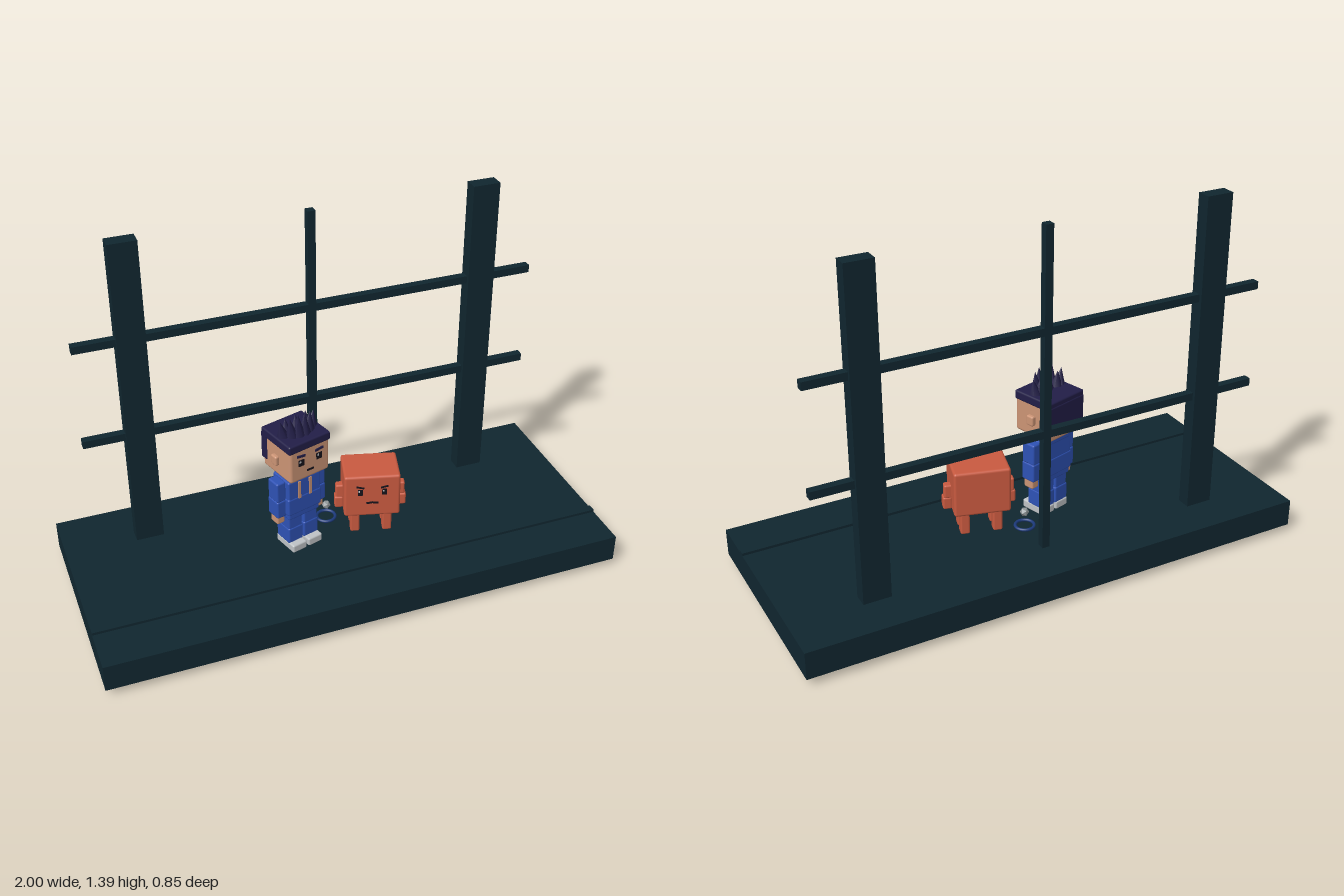
import * as THREE from 'three';
import { RoundedBoxGeometry } from 'three/addons/geometries/RoundedBoxGeometry.js';

const mat = (name, color, flatShading = false) => {
  const m = new THREE.MeshStandardMaterial({ color, flatShading });
  m.name = name;
  return m;
};

export function createModel() {
  const slate = mat('dark slate', 0x10262f);
  const blue = mat('tracksuit blue', 0x2e52b5);
  const navy = mat('ring navy', 0x1c3a7c);
  const hairMat = mat('hair indigo', 0x221e48);
  const skin = mat('skin', 0xcc9475);
  const orange = mat('orange', 0xc95a40);
  const grey = mat('light grey', 0xbfc3c6);
  const black = mat('black', 0x15121a);

  const add = (parent, name, geometry, material, x, y, z) => {
    const mesh = new THREE.Mesh(geometry, material);
    mesh.name = name;
    mesh.position.set(x, y, z);
    parent.add(mesh);
    return mesh;
  };
  const box = (p, name, m, w, h, d, x, y, z) =>
    add(p, name, new THREE.BoxGeometry(w, h, d), m, x, y, z);
  const soft = (p, name, m, w, h, d, x, y, z, r = 0.007) =>
    add(p, name, new RoundedBoxGeometry(w, h, d, 2, r), m, x, y, z);
  const group = (parent, name) => {
    const g = new THREE.Group();
    g.name = name;
    parent.add(g);
    return g;
  };

  const model = group(new THREE.Group(), 'diorama');
  model.removeFromParent();

  // Platform with a thin curb strip
  box(model, 'platform', slate, 2, 0.107, 0.845, 0, 0.0835, 0);
  box(model, 'curb', slate, 2, 0.01, 0.03, 0, 0.142, 0.237);

  // Fence: two posts, a slim pole and two rails, running through the platform
  const fence = group(model, 'fence');
  for (const s of [-1, 1]) box(fence, 'post', slate, 0.106, 1.386, 0.055, s * 0.675, 0.693, -0.238);
  box(fence, 'pole', slate, 0.03, 1.386, 0.03, 0, 0.693, -0.238);
  for (const y of [0.608, 1.003]) box(fence, 'rail', slate, 1.77, 0.03, 0.03, 0, y, -0.238);

  // Boy, turned a little to his left
  const boy = group(model, 'boy');
  boy.position.set(-0.147, 0, -0.005);
  boy.rotation.y = 0.29;
  soft(boy, 'head', skin, 0.176, 0.15, 0.172, 0, 0.553, 0, 0.012);
  soft(boy, 'neck', skin, 0.07, 0.03, 0.07, 0, 0.472, 0);
  soft(boy, 'hood', blue, 0.13, 0.03, 0.1, 0, 0.457, -0.005);
  soft(boy, 'jacketTop', blue, 0.145, 0.085, 0.1, 0, 0.413, 0);
  soft(boy, 'jacketBottom', blue, 0.15, 0.075, 0.104, 0, 0.342, 0);
  soft(boy, 'hips', blue, 0.14, 0.03, 0.092, 0, 0.295, 0);
  for (const s of [-1, 1]) {
    box(boy, 'jacketStripe', skin, 0.012, 0.075, 0.006, s * 0.025, 0.41, 0.051);
    soft(boy, 'sleeveTop', blue, 0.04, 0.085, 0.06, s * 0.09, 0.412, 0);
    soft(boy, 'sleeveBottom', blue, 0.042, 0.075, 0.062, s * 0.09, 0.335, 0);
    soft(boy, 'hand', skin, 0.034, 0.04, 0.045, s * 0.09, 0.284, 0);
    soft(boy, 'thigh', blue, 0.062, 0.07, 0.075, s * 0.035, 0.26, 0);
    soft(boy, 'shin', blue, 0.066, 0.07, 0.08, s * 0.035, 0.2, 0);
    soft(boy, 'shoe', grey, 0.064, 0.034, 0.11, s * 0.036, 0.154, 0.012);
    soft(boy, 'ear', skin, 0.02, 0.04, 0.034, s * 0.094, 0.548, 0);
    box(boy, 'eye', black, 0.024, 0.026, 0.004, s * 0.04, 0.558, 0.087);
    box(boy, 'eyeGlint', grey, 0.007, 0.008, 0.002, s * 0.04 - 0.006, 0.564, 0.0895);
    const brow = box(boy, 'brow', hairMat, 0.036, 0.009, 0.006, s * 0.04, 0.588, 0.087);
    brow.rotation.z = s * 0.12;
  }
  box(boy, 'mouth', black, 0.03, 0.007, 0.004, 0, 0.515, 0.087);

  // Hair: cap, back panel and a fan of spikes
  const hair = group(boy, 'hair');
  soft(hair, 'hairCap', hairMat, 0.184, 0.036, 0.18, 0, 0.625, -0.002);
  soft(hair, 'hairBack', hairMat, 0.184, 0.115, 0.036, 0, 0.568, -0.076);
  [0.075, 0.088, 0.1, 0.095, 0.088, 0.072].forEach((h, i) => {
    const t = (i - 2.5) / 2.5;
    const spike = add(hair, 'spike', new THREE.ConeGeometry(0.027, h, 6), hairMat,
      t * 0.068, 0.632 + h / 2, 0.038 - 0.03 * t * t);
    spike.rotation.z = -t * 0.18;
  });
  for (const x of [-0.045, 0, 0.045]) {
    const spike = add(hair, 'backSpike', new THREE.ConeGeometry(0.026, 0.07, 6), hairMat, x, 0.67, 0.002);
    spike.rotation.x = -0.12;
  }

  // Boxy creature, turned a little to its right
  const creature = group(model, 'creature');
  creature.position.set(0.147, 0, 0);
  creature.rotation.y = -0.27;
  soft(creature, 'body', orange, 0.214, 0.182, 0.16, 0, 0.322, 0, 0.01);
  for (const s of [-1, 1]) {
    for (const z of [-0.032, 0.032])
      soft(creature, 'leg', orange, 0.036, 0.1, 0.04, s * 0.062, 0.186, z);
    soft(creature, 'upperArm', orange, 0.032, 0.055, 0.034, s * 0.117, 0.306, 0);
    soft(creature, 'forearm', orange, 0.034, 0.05, 0.04, s * 0.121, 0.258, 0.002);
    box(creature, 'eye', black, 0.018, 0.026, 0.004, s * 0.046, 0.343, 0.081);
    box(creature, 'eyeGlint', grey, 0.006, 0.007, 0.002, s * 0.046 - 0.004, 0.349, 0.0835);
    const brow = box(creature, 'brow', black, 0.03, 0.006, 0.004, s * 0.046, 0.366, 0.081);
    brow.rotation.z = s * 0.25;
    const lip = box(creature, 'mouth', black, 0.024, 0.007, 0.004, s * 0.011, 0.294, 0.081);
    lip.rotation.z = -s * 0.15;
  }

  // Flat ring on the ground with a small faceted stone floating above
  const ring = add(model, 'groundRing', new THREE.TorusGeometry(0.036, 0.006, 8, 28), navy, 0, 0.143, -0.09);
  ring.rotation.x = Math.PI / 2;
  const stoneMat = mat('stone grey', 0x8f9698, true);
  add(model, 'floatingStone', new THREE.IcosahedronGeometry(0.018, 0), stoneMat, 0, 0.2, -0.088);

  return model;
}
